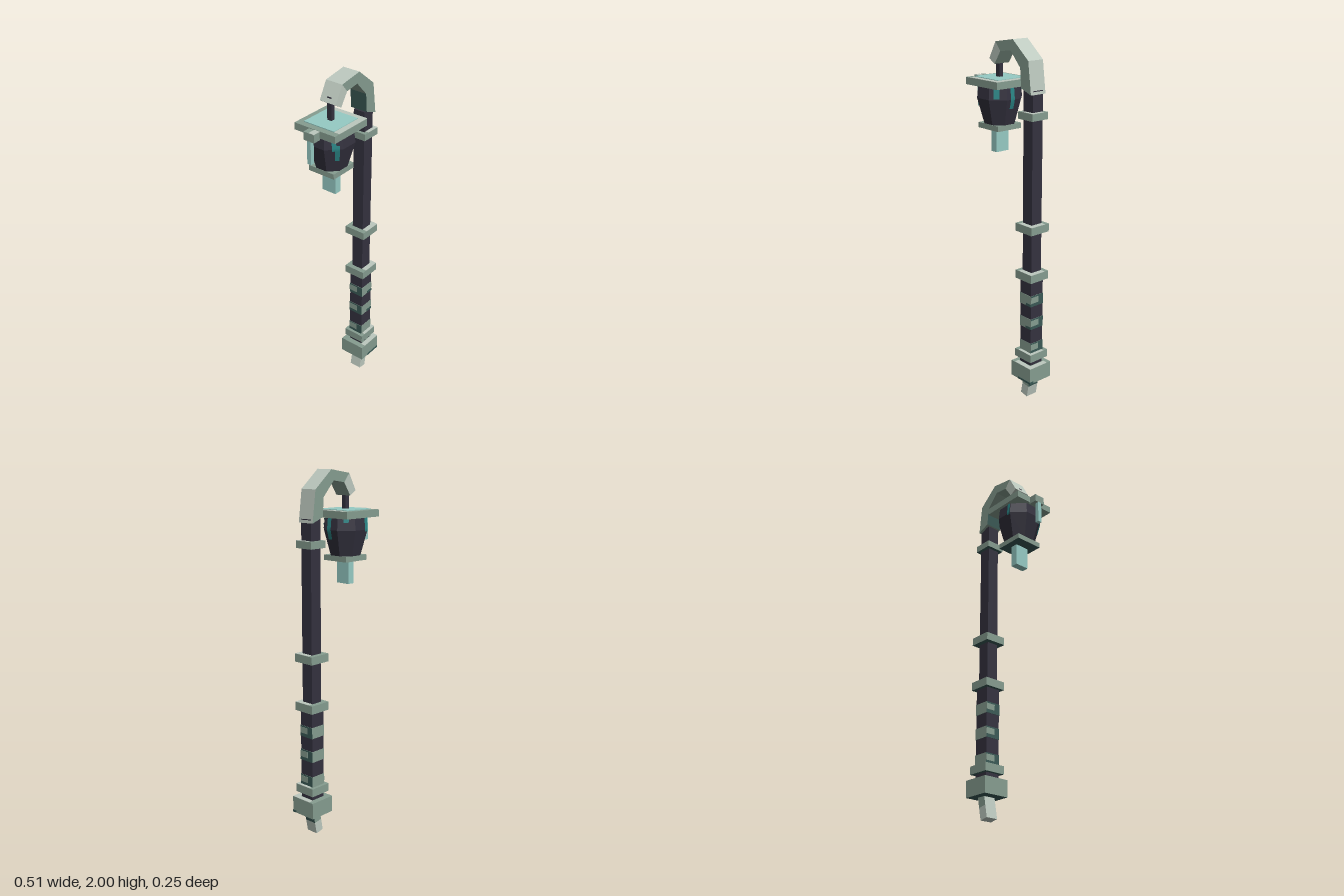
import * as THREE from 'three';

const mat = (name, color) => {
  const m = new THREE.MeshStandardMaterial({ color });
  m.name = name;
  return m;
};

export function createModel() {
  const green = mat('weathered green', 0x869d90);
  const pale = mat('pale green', 0xbdc9bf);
  const deep = mat('deep green', 0x3a5a56);
  const dark = mat('dark iron', 0x34323f);
  const aqua = mat('light aqua', 0x96cbc4);
  const teal = mat('teal drip', 0x2a8585);
  dark.flatShading = true;

  const root = new THREE.Group();
  root.name = 'hookedLanternStaff';

  const add = (parent, name, geometry, material) => {
    const mesh = new THREE.Mesh(geometry, material);
    mesh.name = name;
    parent.add(mesh);
    return mesh;
  };
  // Box given by its limits in x, y and z
  const box = (parent, name, x0, x1, y0, y1, z0, z1, material) => {
    const mesh = add(parent, name, new THREE.BoxGeometry(x1 - x0, y1 - y0, z1 - z0), material);
    mesh.position.set((x0 + x1) / 2, (y0 + y1) / 2, (z0 + z1) / 2);
    return mesh;
  };
  // Square block around a vertical axis
  const block = (parent, name, x, half, y0, y1, material) =>
    box(parent, name, x - half, x + half, y0, y1, -half, half, material);
  // Pale L-shaped worn edge on a top face, at the front and right
  const wornTop = (parent, x, half, y, rim) => {
    box(parent, 'wornFrontEdge', x - half + rim, x + half, y, y + 0.002, half - rim, half, pale);
    box(parent, 'wornSideEdge', x + half - rim, x + half, y, y + 0.002, -half + rim, half - rim, pale);
  };
  const collarSides = [green, green, green, deep, green, green];

  // Staff
  const staff = new THREE.Group();
  staff.name = 'staff';
  root.add(staff);
  const px = 0.177;
  block(staff, 'upperPole', px, 0.035, 0.74, 1.75, dark);
  block(staff, 'gripPole', px, 0.043, 0.2, 0.74, dark);

  // Collars and base block
  for (const [name, half, y0, y1] of [
    ['topCollar', 0.054, 1.6, 1.638],
    ['middleCollar', 0.063, 0.992, 1.036],
    ['upperGripCollar', 0.063, 0.72, 0.766],
    ['lowerGripCollar', 0.063, 0.245, 0.29],
    ['baseBlock', 0.077, 0.122, 0.214],
  ]) {
    block(staff, name, px, half, y0, y1, collarSides);
    wornTop(staff, px, half, y1, 0.028);
  }
  box(staff, 'baseShade', px - 0.02, px + 0.078, 0.122, 0.134, 0.05, 0.079, deep);

  // Wrapped bands on the grip
  const bandSides = [deep, deep, green, deep, green, green];
  for (const [i, [y0, y1]] of [[0.29, 0.35], [0.435, 0.497], [0.572, 0.635]].entries()) {
    block(staff, 'gripBand', px, 0.045, y0, y1, bandSides);
    const mid = (y0 + y1) / 2;
    for (const s of [-1, 1]) {
      box(staff, 'bandPatch', px + s * 0.046 - 0.001, px + s * 0.046 + 0.001,
        mid - 0.012, mid + 0.022, s > 0 ? -0.01 : -0.045, s > 0 ? 0.045 : 0.01, green);
    }
    if (i > 0) box(staff, 'bandShade', px + 0.005, px + 0.045, y0, y0 + 0.015, 0.044, 0.047, deep);
  }

  // Slanted foot
  const foot = new THREE.Group();
  foot.name = 'foot';
  foot.position.set(0.182, 0.13, 0);
  foot.rotation.z = -0.19;
  staff.add(foot);
  box(foot, 'footTip', -0.025, 0.025, -0.128, -0.06, -0.035, 0.035, pale);
  box(foot, 'footRoot', -0.025, 0.025, -0.06, 0.01, -0.035, 0.035, [deep, pale, green, green, green, green]);

  // Hooked arch: boxes whose corners are moved to an outer and an inner outline
  const outer = [[-0.11, 1.884], [-0.06, 1.975], [0.075, 1.997], [0.192, 1.9], [0.214, 1.73]];
  const inner = [[-0.068, 1.858], [-0.022, 1.928], [0.058, 1.94], [0.132, 1.86], [0.14, 1.758]];
  const archColours = [
    [pale, pale, pale, green, pale, pale],
    [pale, pale, pale, green, green, green],
    [pale, pale, pale, green, green, green],
    [green, green, pale, deep, green, green],
  ];
  const arch = new THREE.Group();
  arch.name = 'arch';
  root.add(arch);
  archColours.forEach((colours, i) => {
    const g = new THREE.BoxGeometry(1, 1, 1);
    const p = g.attributes.position;
    for (let k = 0; k < p.count; k++) {
      const [x, y] = (p.getY(k) > 0 ? outer : inner)[p.getX(k) > 0 ? i + 1 : i];
      p.setXYZ(k, x, y, p.getZ(k) * 0.1);
    }
    g.computeVertexNormals();
    add(arch, 'archSegment', g, colours);
  });

  // Lantern
  const lantern = new THREE.Group();
  lantern.name = 'lantern';
  lantern.position.x = -0.086;
  root.add(lantern);
  block(lantern, 'hangingRod', 0, 0.013, 1.78, 1.91, dark);
  block(lantern, 'cap', 0, 0.127, 1.744, 1.782, green);
  wornTop(lantern, 0, 0.127, 1.782, 0.033);
  block(lantern, 'capPanel', 0, 0.094, 1.78, 1.787, aqua);
  block(lantern, 'bottomPlate', 0, 0.081, 1.512, 1.541, collarSides);
  box(lantern, 'bottomPendant', -0.021, 0.021, 1.386, 1.515, -0.042, 0.042, aqua);

  // Eight-sided tapered body, sized by the distance to its flat faces
  const profile = [[0.078, 1.535], [0.116, 1.68], [0.109, 1.746]];
  const toCorner = 1 / Math.cos(Math.PI / 8);
  const body = add(lantern, 'lanternBody',
    new THREE.LatheGeometry(profile.map(([r, y]) => new THREE.Vector2(r * toCorner, y)), 8), dark);
  body.rotation.y = Math.PI / 8;

  // Drips that follow the body's faces
  const faceRadius = (y) => {
    const [a, b] = y < 1.68 ? [profile[0], profile[1]] : [profile[1], profile[2]];
    return a[0] + ((b[0] - a[0]) * (y - a[1])) / (b[1] - a[1]);
  };
  for (const [turn, u, w, y0, y1] of [
    [-1, 0.002, 0.022, 1.67, 1.744],
    [-1, 0.019, 0.024, 1.61, 1.7],
    [1, -0.008, 0.032, 1.685, 1.744],
    [2, -0.01, 0.026, 1.63, 1.744],
    [3, 0, 0.03, 1.722, 1.744],
    [4, 0.036, 0.02, 1.67, 1.744],
  ]) {
    const g = new THREE.PlaneGeometry(w, y1 - y0, 1, 8).translate(u, (y0 + y1) / 2, 0);
    const p = g.attributes.position;
    for (let k = 0; k < p.count; k++) p.setZ(k, faceRadius(p.getY(k)) + 0.003);
    g.computeVertexNormals();
    add(lantern, 'drip', g, teal).rotation.y = (turn * Math.PI) / 4;
  }

  // Side bracket with its small pendant
  box(root, 'sideBracket', -0.257, -0.21, 1.735, 1.779, -0.033, 0.033, green);
  box(root, 'bracketWornTop', -0.257, -0.213, 1.779, 1.781, 0, 0.033, pale);
  box(root, 'sidePendant', -0.257, -0.234, 1.61, 1.737, -0.012, 0.012, aqua);

  return root;
}
